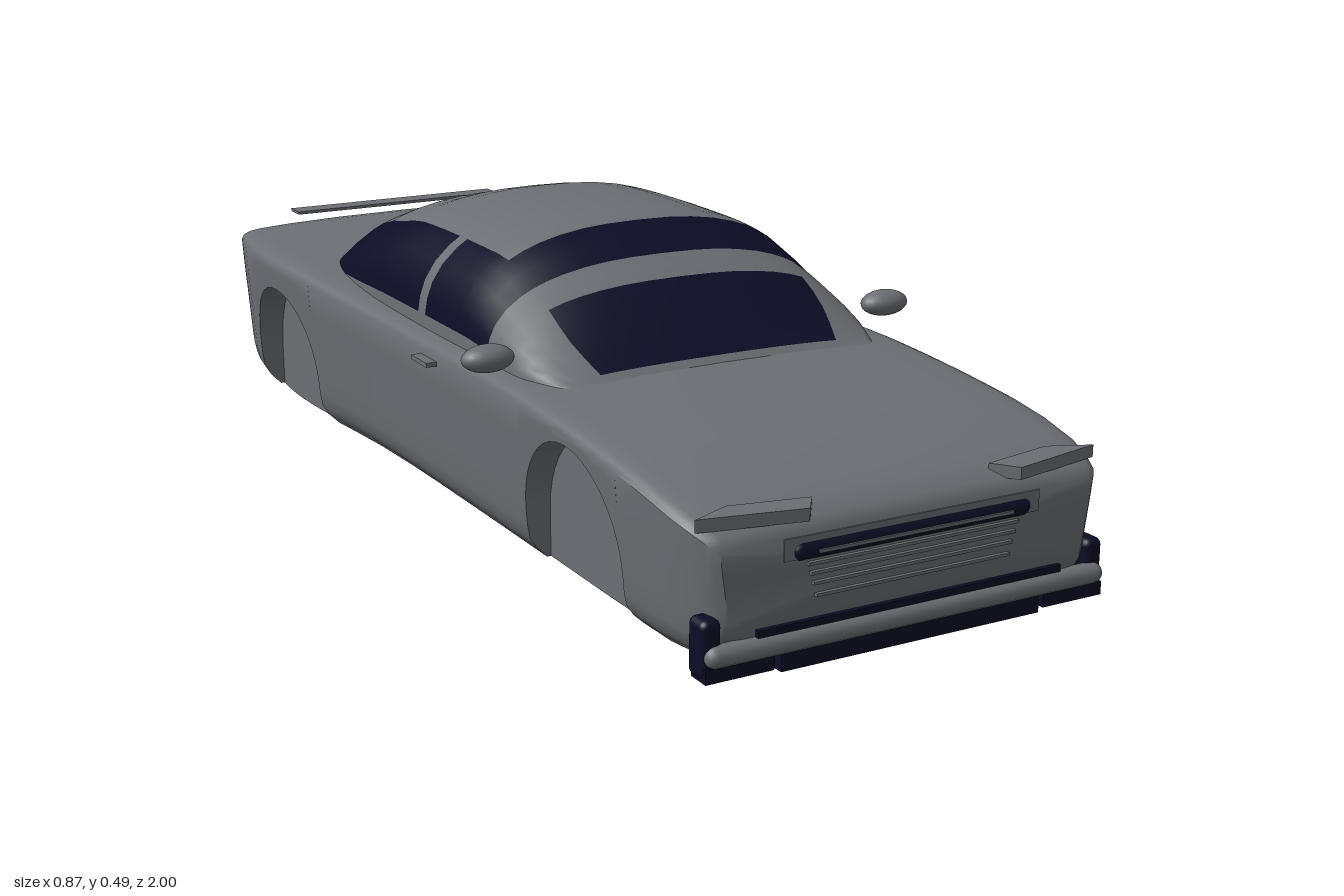
import * as THREE from 'three';
import { toCreasedNormals } from 'three/addons/utils/BufferGeometryUtils.js';
import { RoundedBoxGeometry } from 'three/addons/geometries/RoundedBoxGeometry.js';

const paint = new THREE.MeshStandardMaterial({ color: 0x6b6e73 });
const glass = new THREE.MeshStandardMaterial({ color: 0x0c0c26 });
const red = new THREE.MeshStandardMaterial({ color: 0xd8342c });
paint.name = 'bodyGrey'; glass.name = 'darkGlass'; red.name = 'lampRed';

// Smoothly interpolates rows of [z, ...values], z descending
function sample(rows, z) {
  let i = 0;
  while (i < rows.length - 2 && z < rows[i + 1][0]) i++;
  const a = rows[i], b = rows[i + 1], p = rows[Math.max(i - 1, 0)], n = rows[Math.min(i + 2, rows.length - 1)];
  const h = b[0] - a[0], t = Math.min(1, Math.max(0, (z - a[0]) / h));
  return a.slice(1).map((v, k) => {
    const w = b[k + 1];
    const m0 = (w - p[k + 1]) / (b[0] - p[0]) * h, m1 = (n[k + 1] - v) / (n[0] - a[0]) * h;
    const t2 = t * t, t3 = t2 * t;
    return v * (2 * t3 - 3 * t2 + 1) + m0 * (t3 - 2 * t2 + t) + w * (3 * t2 - 2 * t3) + m1 * (t3 - t2);
  });
}

// Skins rings of points; pick(i, j) gives the material index of each cell
function loft(rings, pick, crease) {
  const lists = [[], []];
  for (let i = 0; i < rings.length - 1; i++) {
    for (let j = 0; j < rings[i].length - 1; j++) {
      const a = rings[i][j], b = rings[i + 1][j], c = rings[i + 1][j + 1], d = rings[i][j + 1];
      lists[pick(i, j)].push(...a, ...b, ...c, ...a, ...c, ...d);
    }
  }
  let g = new THREE.BufferGeometry();
  g.setAttribute('position', new THREE.Float32BufferAttribute(lists.flat(), 3));
  g = toCreasedNormals(g, crease);
  g.clearGroups();
  g.addGroup(0, lists[0].length / 3, 0);
  g.addGroup(lists[0].length / 3, lists[1].length / 3, 1);
  return g;
}

// Mirrors a right-hand half ring into a full ring
const fullRing = (half) => [...half, ...half.slice(0, -1).reverse().map(([x, y, z]) => [-x, y, z])];

// Lower body: z, half width, top, bottom
const BODY = [
  [0.98, 0.335, 0.205, 0.06], [0.965, 0.35, 0.225, 0.04], [0.9, 0.368, 0.25, 0.012], [0.75, 0.374, 0.278, 0.006],
  [0.4, 0.374, 0.303, 0.006], [0, 0.374, 0.305, 0.006], [-0.25, 0.381, 0.308, 0.006], [-0.45, 0.4, 0.32, 0.006],
  [-0.62, 0.41, 0.327, 0.006], [-0.75, 0.4, 0.327, 0.006], [-0.86, 0.378, 0.322, 0.012], [-0.93, 0.35, 0.306, 0.028],
  [-0.975, 0.305, 0.265, 0.055], [-0.994, 0.24, 0.22, 0.09],
];
const WELLS = [0.585, -0.59], WELL_R = 0.16, WELL_Y = 0.09;

function bodyRing(z, well) {
  const [W, T, B] = sample(BODY, z), H = T - B;
  const inner = W * 0.84, shoulder = B + H * 0.91;
  const low = well === undefined ? B
    : WELL_Y + Math.sqrt(Math.max(0, WELL_R ** 2 - (z - well) ** 2));
  const sideX = (y) => {
    const u = (y - B) / H;
    return W * (1 - 0.06 * Math.max(0, 1 - u / 0.88) - 0.08 * Math.max(0, 1 - u / 0.18) ** 2);
  };
  const half = [[0, B, z], [inner, B, z], [inner + 0.001, low, z]];
  for (const s of [0, 0.07, 0.14, 0.22, 0.4, 0.6, 0.8, 1]) {
    const y = low + (shoulder - low) * s;
    half.push([sideX(y), y, z]);
  }
  for (const [u, v] of [[0.985, 0.94], [0.95, 0.96], [0.88, 0.972], [0.7, 0.985], [0.4, 0.996], [0, 1]]) {
    half.push([W * u, B + H * v, z]);
  }
  return fullRing(half);
}

function bodyGeometry() {
  const cols = BODY.flatMap(([z], i) => (i ? [(z + BODY[i - 1][0]) / 2, z] : [z]))
    .filter((z) => WELLS.every((c) => Math.abs(z - c) > WELL_R + 0.005)).map((z) => [z]);
  for (const c of WELLS) {
    cols.push([c + WELL_R]);
    for (let k = 0; k <= 20; k++) cols.push([c + WELL_R * Math.cos(Math.PI * k / 20), c]);
    cols.push([c - WELL_R]);
  }
  cols.sort((a, b) => b[0] - a[0]); // stable, keeps the well edges in order
  const rings = cols.map(([z, well]) => bodyRing(z, well));
  const cap = (r) => r.map(() => [0, 0.14, r[0][2]]);
  return loft([cap(rings[0]), ...rings, cap(rings[rings.length - 1])], () => 0, 0.7);
}

// Cabin: z, half width, top
const CABIN = [
  [0.46, 0.3, 0.295], [0.37, 0.333, 0.365], [0.3, 0.337, 0.415], [0.24, 0.338, 0.444], [0.17, 0.339, 0.483],
  [0.1, 0.34, 0.493], [-0.2, 0.338, 0.49], [-0.3, 0.336, 0.467], [-0.4, 0.33, 0.44], [-0.5, 0.31, 0.37], [-0.57, 0.28, 0.315],
];
const CABIN_Z = [0.46, 0.44, 0.405, 0.37, 0.335, 0.3, 0.27, 0.24, 0.2, 0.155, 0.12, 0.08, 0.03, -0.01, -0.04, -0.1,
  -0.16, -0.2, -0.25, -0.3, -0.35, -0.41, -0.44, -0.47, -0.5, -0.53, -0.55, -0.57];
const CABIN_A = [0, 5, 12, 20, 30, 40, 46, 53, 60, 68, 76, 83, 90];

// Chooses glass for windscreen, upper band, side windows and rear window
function cabinPick(i, j) {
  const n = CABIN_A.length - 1, k = j < n ? j : 2 * n - 1 - j;
  const z = (CABIN_Z[i] + CABIN_Z[i + 1]) / 2, a = (CABIN_A[k] + CABIN_A[k + 1]) / 2;
  const within = (hi, lo) => z < hi && z > lo;
  if (within(0.44, 0.3) && a > 46) return 1;
  if (within(0.24, 0.155) && a > 5) return 1;
  if (within(0.24, -0.01) && a > 5 && a < 46) return 1;
  if (within(-0.04, -0.41) && a > 5 && a < 46) return 1;
  if (within(-0.41, -0.53) && a > 5 && a < 40) return 1;
  if (within(-0.41, -0.55) && a > 46) return 1;
  return within(-0.47, -0.55) && a > 40 ? 1 : 0;
}

function cabinGeometry() {
  const rings = CABIN_Z.map((z) => {
    const [W, T] = sample(CABIN, z);
    return fullRing(CABIN_A.map((deg) => {
      const a = deg * Math.PI / 180;
      const c = Math.max(0, Math.cos(a)) ** 0.8;
      return [deg === 90 ? 0 : W * c, 0.29 + (T - 0.29) * Math.sin(a) ** 0.8, z];
    }));
  });
  return loft(rings, cabinPick, 0.9);
}

export function createModel() {
  const car = new THREE.Group();
  car.name = 'car';
  const add = (name, geo, mat, x = 0, y = 0, z = 0) => {
    const m = new THREE.Mesh(geo, mat);
    m.name = name;
    m.position.set(x, y, z);
    car.add(m);
    return m;
  };
  const box = (name, mat, w, h, d, x, y, z) => add(name, new THREE.BoxGeometry(w, h, d), mat, x, y, z);
  const rod = (name, mat, r, len, x, y, z) => {
    const m = add(name, new THREE.CapsuleGeometry(r, len - 2 * r, 6, 14), mat, x, y, z);
    m.rotation.z = Math.PI / 2;
    return m;
  };

  add('body', bodyGeometry(), [paint, glass]);
  add('cabin', cabinGeometry(), [paint, glass]);

  // Nose: grille, vents, bumper and splitter
  box('grilleSurround', paint, 0.46, 0.034, 0.02, 0, 0.183, 0.972);
  rod('grille', glass, 0.015, 0.43, 0, 0.177, 0.974);
  box('grilleBar', paint, 0.35, 0.005, 0.006, 0, 0.176, 0.989);
  [0.157, 0.142, 0.126, 0.107].forEach((y, i) =>
    box('noseVent', paint, 0.38 - 0.01 * i, 0.005, 0.012, 0, y, 0.98));
  box('bumperStrip', glass, 0.55, 0.011, 0.02, 0, 0.067, 0.978);
  rod('frontBumper', paint, 0.017, 0.72, 0, 0.045, 0.981);
  box('frontSplitter', glass, 0.47, 0.028, 0.04, 0, 0.016, 0.968);

  // Rear: spoiler and lower valance
  box('spoiler', paint, 0.47, 0.006, 0.045, 0, 0.331, -0.925);
  box('rearValance', glass, 0.42, 0.022, 0.07, 0, 0.024, -0.965);

  // Headlamp outline seen from above
  const lamp = new THREE.Shape([[0.16, -0.945], [0.19, -0.985], [0.36, -0.95], [0.29, -0.92]]
    .map(([x, y]) => new THREE.Vector2(x, y)));

  for (const s of [1, -1]) {
    // Front corners
    add('bumperEnd', new RoundedBoxGeometry(0.034, 0.09, 0.045, 3, 0.012), glass, s * 0.347, 0.054, 0.96);
    box('splitterEnd', glass, 0.115, 0.022, 0.04, s * 0.303, 0.018, 0.966);
    const head = add('headlamp', new THREE.ExtrudeGeometry(lamp, { depth: 0.02, bevelEnabled: false }), paint, 0, 0.222, 0);
    head.geometry.rotateX(-Math.PI / 2);
    if (s < 0) head.rotation.z = Math.PI;
    if (s < 0) head.position.y = 0.242;

    // Sides
    const mirror = add('wingMirror', new THREE.SphereGeometry(1, 24, 16), paint, s * 0.391, 0.335, 0.355);
    mirror.scale.set(0.046, 0.023, 0.03);
    box('doorHandle', paint, 0.02, 0.008, 0.065, s * 0.382, 0.263, 0.08);

    // Tail lamps and exhausts
    const tail = rod('tailLamp', red, 0.013, 0.155, s * 0.262, 0.28, -0.951);
    tail.rotation.set(0, -s * 0.21, Math.PI / 2, 'YXZ');
    const pipe = add('exhaust', new THREE.CapsuleGeometry(0.013, 0.03, 6, 14), paint, s * 0.18, 0.043, -0.965);
    pipe.rotation.x = Math.PI / 2;
  }
  return car;
}
